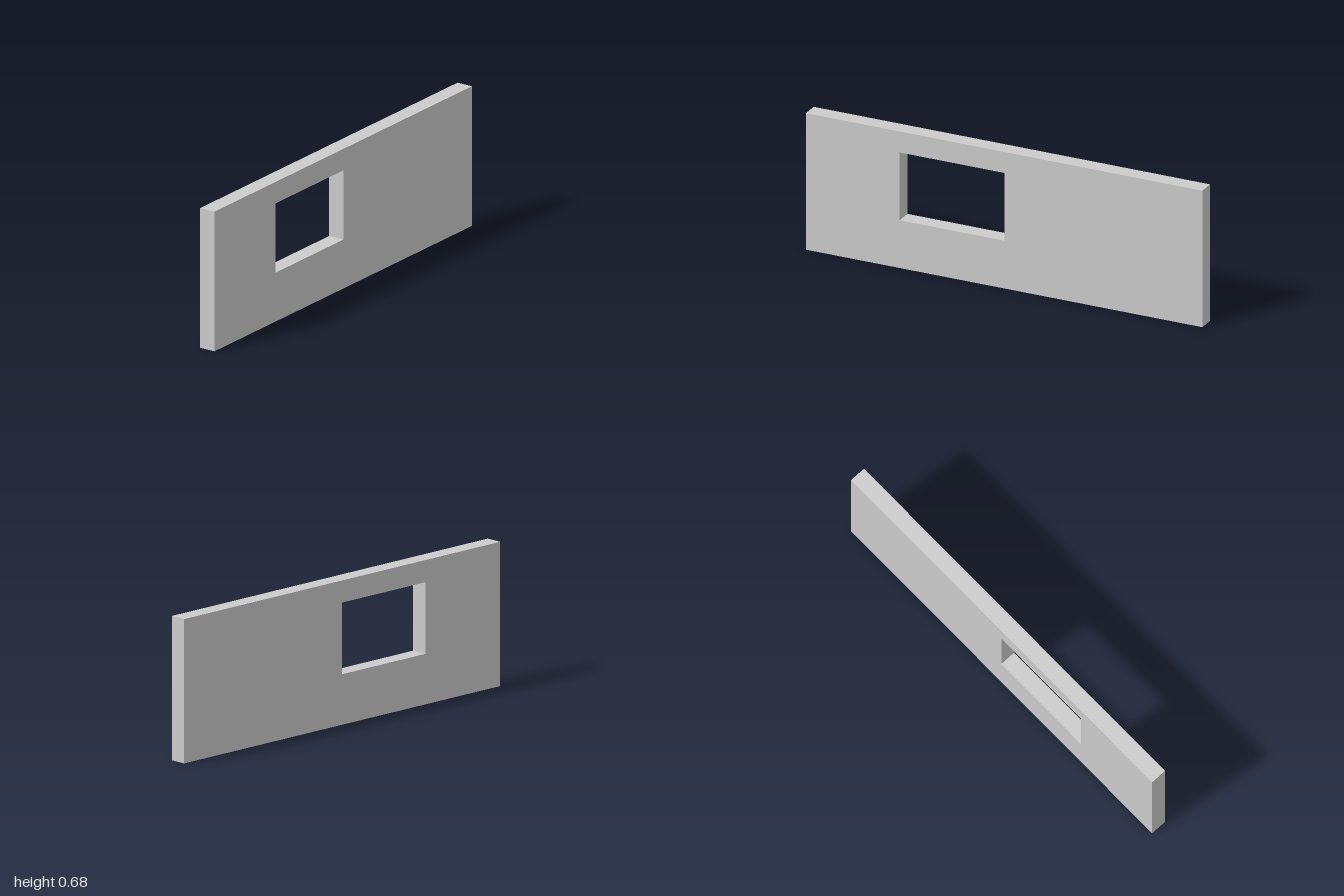
import * as THREE from 'three';

const HEIGHT = 0.677;
const DEPTH = 0.08;

// Corners of an upright rectangle, anticlockwise
const rectangle = (x0, y0, x1, y1) => [
  new THREE.Vector2(x0, y0),
  new THREE.Vector2(x1, y0),
  new THREE.Vector2(x1, y1),
  new THREE.Vector2(x0, y1),
];

export function createModel() {
  const model = new THREE.Group();
  model.name = 'wallPanel';

  // Flat wall slab pierced by one window opening
  const outline = new THREE.Shape(rectangle(-1, 0, 1, HEIGHT));
  outline.holes.push(new THREE.Path(rectangle(-0.527, 0.237, 0.002, 0.573).reverse()));

  const geometry = new THREE.ExtrudeGeometry(outline, { depth: DEPTH, bevelEnabled: false });
  geometry.translate(0, 0, -DEPTH / 2);

  const wall = new THREE.Mesh(geometry, new THREE.MeshStandardMaterial({ color: 0xcccccc }));
  wall.name = 'wallWithWindowOpening';
  model.add(wall);

  return model;
}
